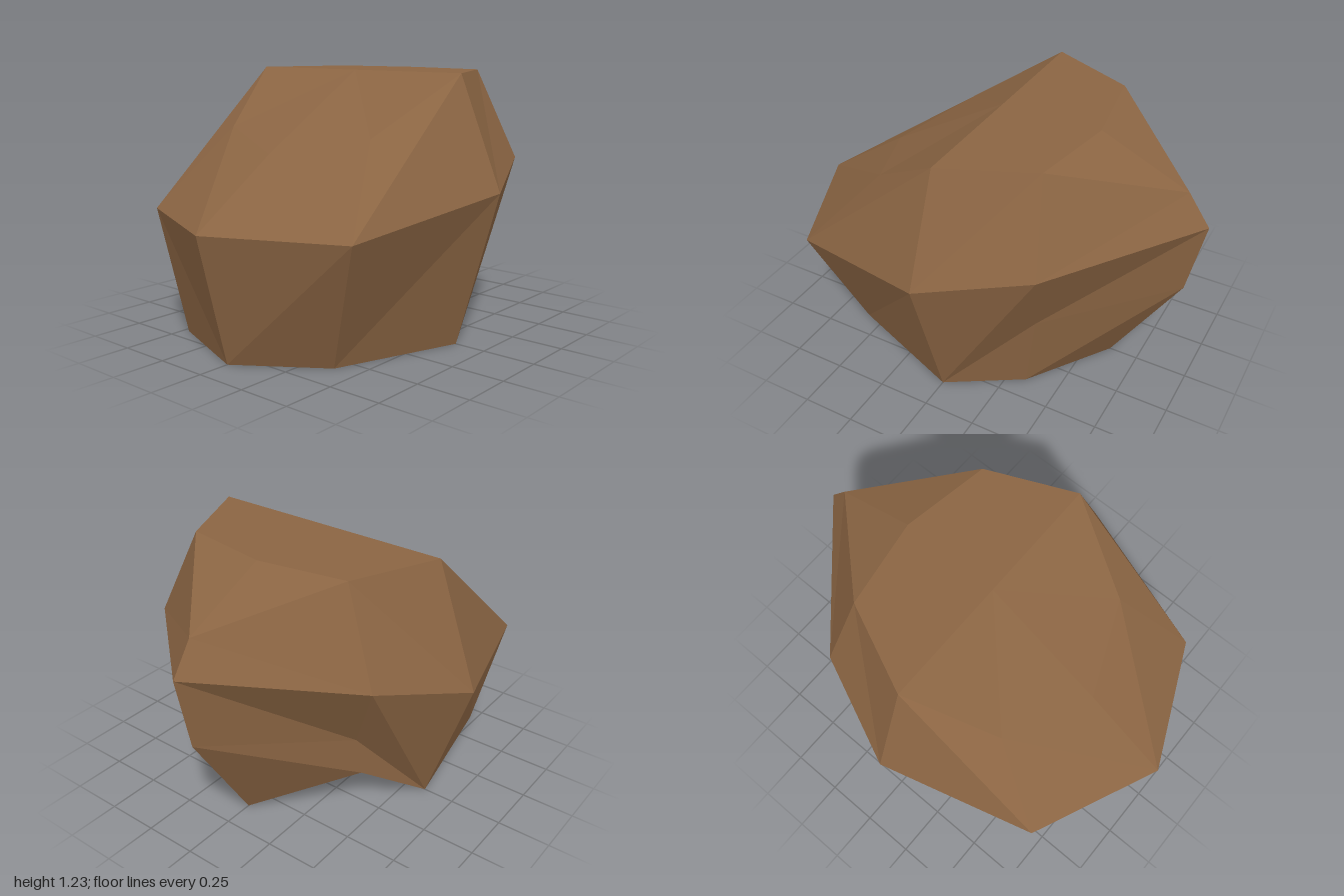
import * as THREE from 'three';

// Each level runs round the boulder: front, front-left, left, back-left,
// back, back-right, right, front-right.
const bottom = [
  [0, 0, 0.85], [0.38, 0, 0.59], [0.6, 0, 0], [0.39, 0, -0.34],
  [0, 0, -0.61], [-0.45, 0.235, -0.33], [-0.6, 0, 0], [-0.47, 0, 0.67],
];
const middle = [
  [0, 0.59, 1], [0.6, 0.59, 0.73], [0.81, 0.72, 0], [0.6, 0.81, -0.48],
  [0, 0.89, -1], [-0.6, 0.79, -0.48], [-0.81, 0.64, 0], [-0.6, 0.59, 0.73],
];
const top = [
  [0, 0.88, 0.58], [0.42, 0.96, 0.4], [0.6, 1.225, 0], [0.42, 1.225, -0.41],
  [0, 1.225, -0.48], [-0.42, 1.225, -0.41], [-0.6, 1.225, 0], [-0.42, 0.96, 0.4],
];

// Partial levels: extra corners on the back, elsewhere merged with a neighbour level
const withCorners = (ring, corners) => ring.map((p, i) => corners[i] ?? p);
const lowerBack = withCorners(bottom, {
  3: [0.43, 0.42, -0.4], 4: [0, 0.53, -0.93], 5: [-0.44, 0.43, -0.36],
});
const upperBack = withCorners(top, { 4: [0, 1.04, -0.895] });

// Centre points close the underside and the top as fans
const fill = (p) => Array(8).fill(p);
const levels = [fill([0, 0, 0]), bottom, lowerBack, middle, upperBack, top, fill([0, 1.225, 0])];

function boulderGeometry() {
  const positions = [];
  const triangle = (a, b, c) => {
    if (a === b || b === c || c === a) return; // merged corners
    positions.push(...a, ...b, ...c);
  };
  for (let k = 0; k < levels.length - 1; k++) {
    const lower = levels[k], upper = levels[k + 1];
    for (let i = 0; i < 8; i++) {
      const j = (i + 1) % 8;
      const [a, b, c, d] = [lower[i], lower[j], upper[j], upper[i]];
      // Diagonals mirror between the two sides
      if (i < 4) {
        triangle(a, b, c);
        triangle(a, c, d);
      } else {
        triangle(a, b, d);
        triangle(b, c, d);
      }
    }
  }
  const geometry = new THREE.BufferGeometry();
  geometry.setAttribute('position', new THREE.Float32BufferAttribute(positions, 3));
  geometry.computeVertexNormals();
  return geometry;
}

export function createModel() {
  const brownStone = new THREE.MeshStandardMaterial({
    color: 0x8b6543, flatShading: true, side: THREE.DoubleSide,
  });
  brownStone.name = 'brownStone';

  const boulder = new THREE.Mesh(boulderGeometry(), brownStone);
  boulder.name = 'boulder';

  const group = new THREE.Group();
  group.name = 'rock';
  group.add(boulder);
  return group;
}
